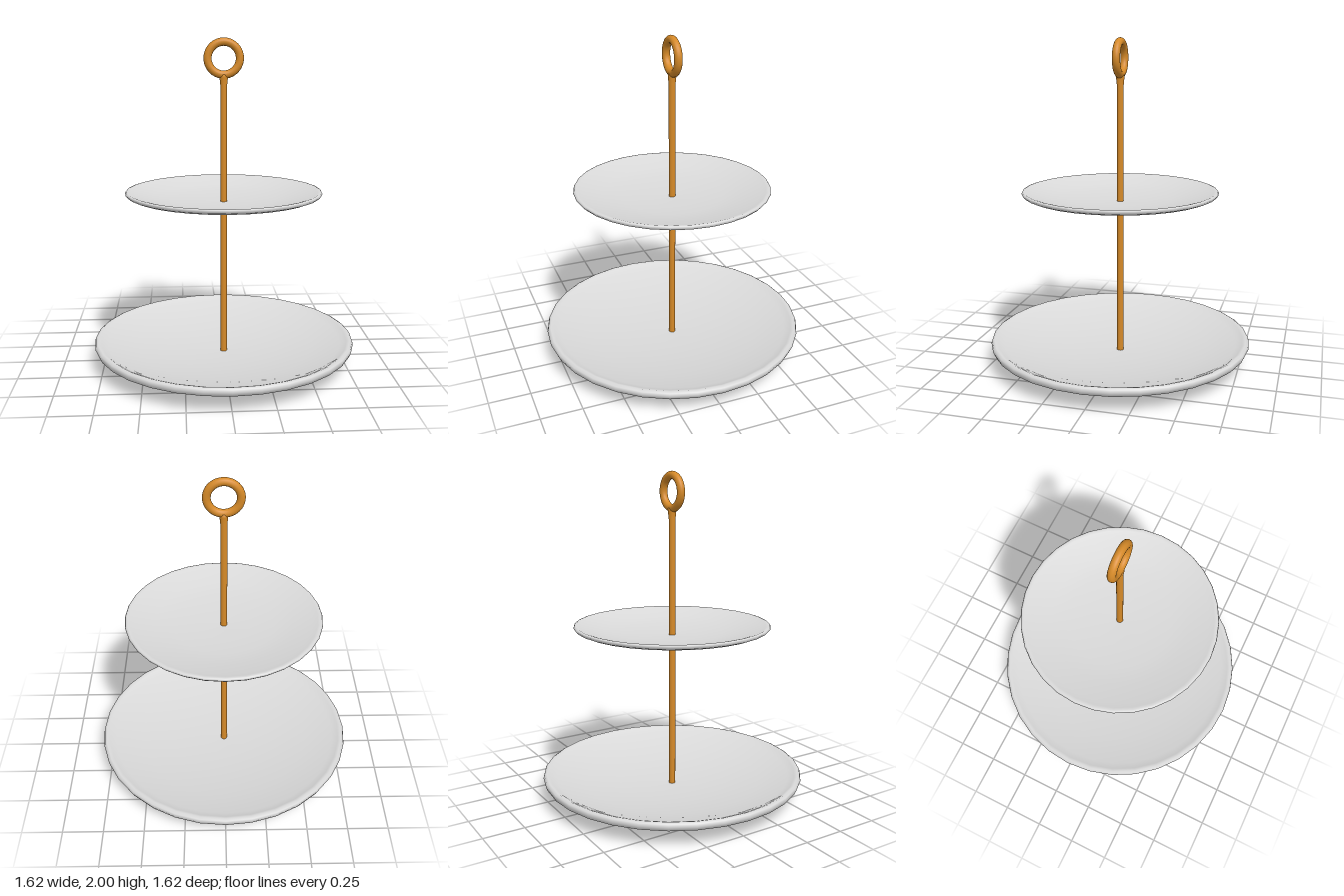
import * as THREE from 'three';

export function createModel() {
  const model = new THREE.Group();
  const porcelain = new THREE.MeshStandardMaterial({ name: 'pale grey porcelain', color: 0xdadada });
  const brass = new THREE.MeshStandardMaterial({ name: 'orange brass', color: 0xd68a28 });

  const add = (name, geometry, material, y = 0) => {
    const mesh = new THREE.Mesh(geometry, material);
    mesh.name = name;
    mesh.position.y = y;
    model.add(mesh);
    return mesh;
  };
  const lathe = (points, sides) =>
    new THREE.LatheGeometry(points.map(([r, y]) => new THREE.Vector2(r, y)), sides);

  // Dished plates: underside from the centre out, rounded rim, then the hollow back in
  add('lowerPlate', lathe([
    [0, 0], [0.15, 0.004], [0.33, 0.014], [0.55, 0.044], [0.76, 0.093], [0.8, 0.112],
    [0.81, 0.135], [0.805, 0.152], [0.79, 0.16], [0.77, 0.152],
    [0.73, 0.135], [0.55, 0.093], [0.33, 0.064], [0.15, 0.053], [0, 0.05],
  ], 32), porcelain);

  add('upperPlate', lathe([
    [0, 0], [0.22, 0.001], [0.31, 0.008], [0.42, 0.025], [0.56, 0.054], [0.59, 0.066],
    [0.6, 0.078], [0.595, 0.087], [0.585, 0.09], [0.57, 0.086],
    [0.54, 0.077], [0.42, 0.049], [0.31, 0.033], [0.16, 0.022], [0, 0.018],
  ], 32), porcelain, 1);

  // Central rod, flaring slightly where it meets the ring
  add('rod', lathe([[0, 0.03], [0.02, 0.03], [0.02, 1.72], [0.025, 1.765], [0.025, 1.785], [0, 1.785]], 24), brass);

  // Carrying ring
  add('handleRing', new THREE.TorusGeometry(0.096, 0.024, 16, 40), brass, 1.88);

  return model;
}
